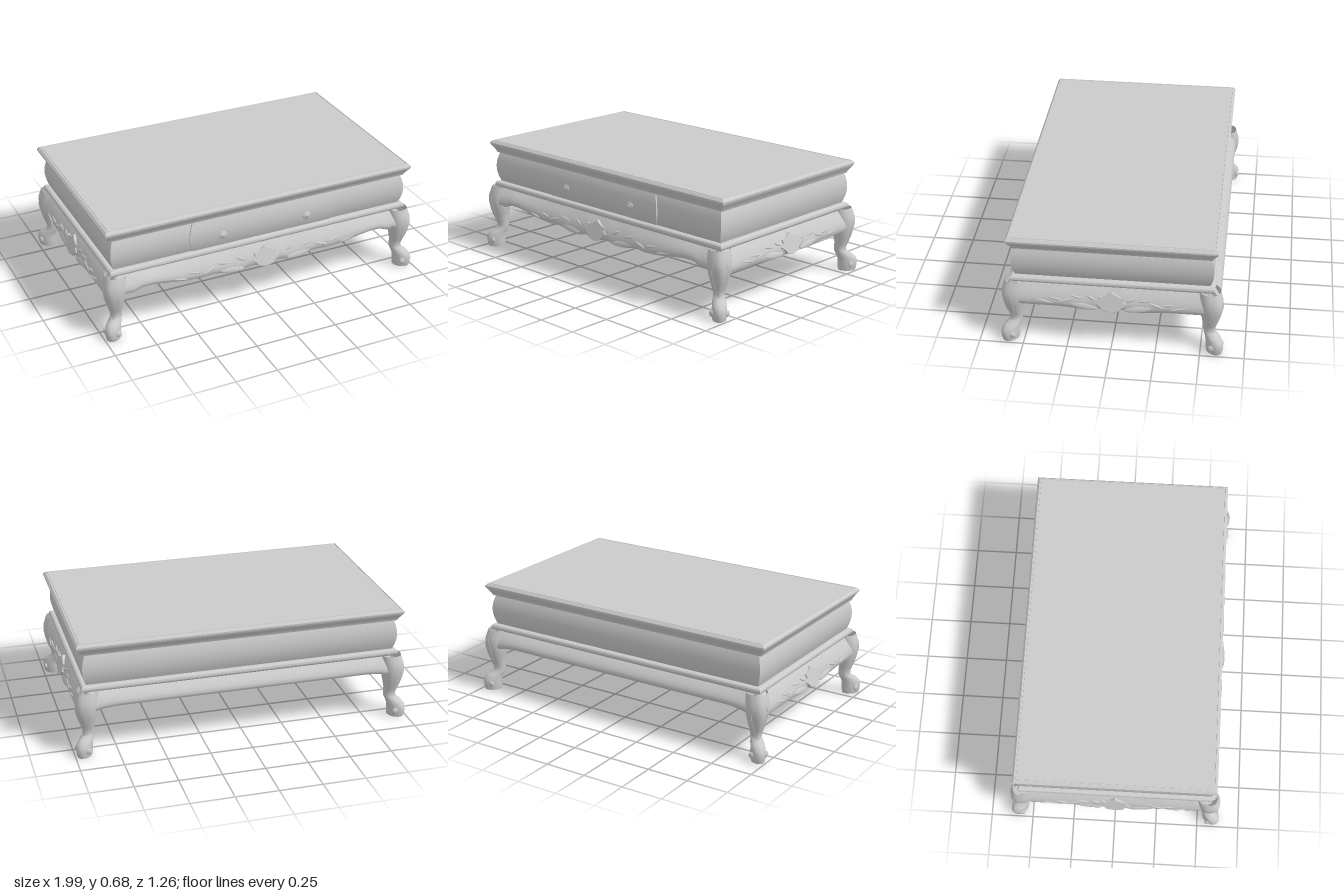
import * as THREE from 'three';
import { toCreasedNormals } from 'three/addons/utils/BufferGeometryUtils.js';

const paint = new THREE.MeshStandardMaterial({ color: 0xcbcbcb, side: THREE.DoubleSide });
paint.name = 'light grey paint';

function mesh(name, geometry, parent, x = 0, y = 0, z = 0) {
  const m = new THREE.Mesh(geometry, paint);
  m.name = name;
  m.position.set(x, y, z);
  parent.add(m);
  return m;
}

// Skin over closed rings of [x, y, z] points
function loft(rings, crease = 0.7) {
  const n = rings[0].length, index = [];
  for (let i = 0; i < rings.length - 1; i++)
    for (let j = 0; j < n; j++) {
      const a = i * n + j, d = i * n + (j + 1) % n;
      index.push(a, a + n, d + n, a, d + n, d);
    }
  const g = new THREE.BufferGeometry();
  g.setAttribute('position', new THREE.Float32BufferAttribute(rings.flat(2), 3));
  g.setIndex(index);
  return toCreasedNormals(g, crease);
}

// Mitred rectangular moulding; the profile [outward, y] runs upwards
function moulding(hx, hz, profile) {
  const corners = [[-1, 1], [1, 1], [1, -1], [-1, -1]], pos = [];
  for (let s = 0; s < 4; s++)
    for (let i = 0; i < profile.length - 1; i++) {
      const at = (c, p) => [c[0] * (hx + p[0]), p[1], c[1] * (hz + p[0])];
      const l = corners[s], r = corners[(s + 1) % 4], p = profile[i], q = profile[i + 1];
      pos.push(at(l, p), at(r, p), at(r, q), at(l, p), at(r, q), at(l, q));
    }
  const g = new THREE.BufferGeometry();
  g.setAttribute('position', new THREE.Float32BufferAttribute(pos.flat(), 3));
  return toCreasedNormals(g, 0.5);
}

// Linear lookup in a list of [x, value]
function lookup(list, x) {
  for (let i = 1; i < list.length; i++)
    if (x <= list[i][0]) {
      const [a, b] = [list[i - 1], list[i]];
      return a[1] + (b[1] - a[1]) * (x - a[0]) / (b[0] - a[0]);
    }
  return list[list.length - 1][1];
}

const APRON_TOP = 0.388;
const apronCurve = [[0, -0.009], [0.1, -0.002], [0.22, 0], [0.4, -0.005], [0.6, -0.016], [0.8, -0.032], [1, -0.05]];

// Flared rail with a shaped lower edge, facing +z
function apron(name, half, face, edge) {
  const group = new THREE.Group(), rings = [];
  group.name = name;
  for (let i = 0; i <= 72; i++) {
    const x = -half + 2 * half * i / 72, low = lookup(edge, Math.abs(x));
    const ring = apronCurve.map(([t, d]) => [x, low + (APRON_TOP - low) * t, face + d]);
    ring.push([x, APRON_TOP, face - 0.07], [x, low, face - 0.045]);
    rings.push(ring);
  }
  mesh(name + 'Rail', loft(rings), group);
  return group;
}

// Shell crest and low-relief leaf sprays carved on a rail
function carve(group, face, reach, edge) {
  const shape = new THREE.Shape();
  const half = [[0.025, 0.345], [0.055, 0.332], [0.07, 0.336], [0.065, 0.312], [0.088, 0.295], [0.06, 0.275], [0.045, 0.256]];
  shape.moveTo(0, 0.063);
  half.forEach(([x, y]) => shape.lineTo(x, y - 0.3));
  shape.lineTo(0, -0.054);
  half.slice().reverse().forEach(([x, y]) => shape.lineTo(-x, y - 0.3));
  const crest = mesh('shellCrest', new THREE.ExtrudeGeometry(shape, {
    depth: 0.01, bevelThickness: 0.006, bevelSize: 0.003, bevelSegments: 2 }), group, 0, 0.3, face - 0.013);
  crest.rotation.x = -0.28;
  // Leaves: [fraction along, height, half length, half width, tilt]
  const leaves = [[0.26, 0.322, 0.03, 0.008, 0.5], [0.45, 0.322, 0.04, 0.006, 0.2], [0.36, 0.272, 0.08, 0.018, 0.12],
    [0.6, 0.3, 0.045, 0.008, -0.3], [0.74, 0.308, 0.04, 0.006, 0.15], [0.9, 0.29, 0.05, 0.006, 0.2]];
  for (const s of [-1, 1])
    for (const [f, y, l, w, tilt] of leaves) {
      const x = f * reach, low = lookup(edge, x);
      const z = face + lookup(apronCurve, (y - low) / (APRON_TOP - low));
      const leaf = mesh('carvedLeaf', new THREE.SphereGeometry(1, 14, 8), group, s * x, y, z);
      leaf.scale.set(l, w, 0.006);
      leaf.rotation.set(-0.25, 0, s * tilt);
    }
}

// Cabriole leg, its outer corner towards +x +z
function leg() {
  const group = new THREE.Group();
  // [height, diagonal shift, radius, width across the diagonal]
  const path = [[0, 0.027, 0.001, 0.8], [0, 0.027, 0.047, 0.8], [0.02, 0.028, 0.051, 0.8], [0.05, 0.029, 0.053, 0.8],
    [0.075, 0.026, 0.051, 0.8], [0.1, 0.014, 0.046, 0.82], [0.118, -0.002, 0.036, 0.9], [0.14, -0.005, 0.034, 0.95],
    [0.17, -0.001, 0.039, 1], [0.21, 0.002, 0.05, 1], [0.25, 0.003, 0.06, 1], [0.29, 0.004, 0.066, 1],
    [0.33, 0.002, 0.067, 1], [0.36, -0.003, 0.064, 1], [0.39, -0.008, 0.06, 1]];
  mesh('cabrioleLeg', loft(path.map(([y, d, r, w]) => {
    const ring = [];
    for (let j = 0; j < 32; j++) {
      const a = j / 32 * Math.PI * 2;
      const ridge = y > 0.12 ? 0.1 * Math.max(0, Math.cos(a)) ** 10 : 0;
      const along = r * (2 - w) ** 0.5 * (1 + ridge) * Math.cos(a), across = r * w * Math.sin(a);
      ring.push([d + (along - across) * Math.SQRT1_2, y, d + (along + across) * Math.SQRT1_2]);
    }
    return ring;
  }), 0.9), group);
  // Scroll eyes on the foot and leaf edges on the knee
  for (const side of [0, 1]) {
    const eye = mesh('footScroll', new THREE.SphereGeometry(0.019, 16, 10), group,
      side ? 0.012 : 0.07, 0.042, side ? 0.07 : 0.012);
    eye.scale.set(side ? 1 : 0.5, 1, side ? 0.5 : 1);
    const pts = path.slice(7, 14).map(([y, d, r], i) => {
      const a = Math.PI / 4 + (side ? 1 : -1) * (0.3 + 0.5 * Math.sin(i / 6 * Math.PI));
      return new THREE.Vector3(d + r * Math.cos(a), y, d + r * Math.sin(a));
    });
    mesh('kneeLeafEdge', new THREE.TubeGeometry(new THREE.CatmullRomCurve3(pts), 24, 0.002, 6), group);
  }
  return group;
}

export function createModel() {
  const model = new THREE.Group();
  model.name = 'coffeeTable';

  // Table top with bevel, lip and cove beneath
  mesh('tableTop', moulding(0.967, 0.584, [[-0.06, 0.604], [-0.032, 0.604], [-0.029, 0.613], [-0.023, 0.624],
    [-0.014, 0.638], [-0.005, 0.651], [-0.004, 0.656], [0, 0.658], [0, 0.667], [-0.012, 0.68], [-0.017, 0.68],
    [-0.018, 0.677], [-0.023, 0.677], [-0.024, 0.68], [-0.584, 0.68]]), model);

  // Bombe body
  const bulge = y => -0.02 * ((y - 0.515) / 0.093) ** 2;
  const bodyProfile = [];
  for (let i = 0; i <= 14; i++) {
    const y = 0.418 + 0.19 * i / 14;
    bodyProfile.push([bulge(y), y]);
  }
  mesh('body', moulding(0.935, 0.563, bodyProfile), model);

  // Half-round base moulding
  const base = [[-0.06, 0.382], [-0.018, 0.382]];
  for (let i = 0; i <= 8; i++) {
    const a = -Math.PI / 2 + Math.PI * i / 8;
    base.push([-0.018 + 0.018 * Math.cos(a), 0.402 + 0.019 * Math.sin(a)]);
  }
  base.push([-0.06, 0.421]);
  mesh('baseMoulding', moulding(0.945, 0.572, base), model);

  // Board closing the underside between the aprons
  mesh('undersideBoard', new THREE.BoxGeometry(1.87, 0.008, 1.14), model, 0, 0.302, 0);

  // Drawer front with bowed ends
  const rows = [];
  for (let i = 0; i <= 16; i++) {
    const y = 0.423 + 0.178 * i / 16, s = (y - 0.512) / 0.089;
    const w = 0.44 + 0.023 * (1 - s * s), z = 0.563 + bulge(y);
    rows.push([[w, y, z + 0.009], [-w, y, z + 0.009], [-w, y, z - 0.01], [w, y, z - 0.01]]);
  }
  mesh('drawerFront', loft(rows), model);

  // Drawer knobs
  const knob = [[0.016, 0], [0.014, 0.004], [0.007, 0.007], [0.007, 0.012], [0.024, 0.015], [0.025, 0.018],
    [0.018, 0.021], [0.01, 0.022], [0.009, 0.026], [0, 0.028]].map(([r, y]) => new THREE.Vector2(r, y));
  for (const s of [-1, 1])
    mesh('drawerKnob', new THREE.LatheGeometry(knob, 24), model, s * 0.267, 0.505, 0.57).rotation.x = Math.PI / 2;

  // Aprons: [distance from centre, lower edge height]
  const frontEdge = [[0, 0.245], [0.05, 0.256], [0.09, 0.262], [0.16, 0.245], [0.24, 0.253], [0.32, 0.268], [0.4, 0.262],
    [0.5, 0.268], [0.6, 0.284], [0.7, 0.299], [0.77, 0.298], [0.82, 0.275], [0.84, 0.285], [0.9, 0.27]];
  const sideEdge = [[0, 0.243], [0.05, 0.254], [0.09, 0.256], [0.15, 0.243], [0.22, 0.25], [0.3, 0.256], [0.53, 0.256]];
  const backEdge = [[0, 0.296], [0.75, 0.296], [0.83, 0.288], [0.9, 0.27]];
  const front = apron('frontApron', 0.9, 0.604, frontEdge);
  carve(front, 0.604, 0.6, frontEdge);
  model.add(front);
  const back = apron('backApron', 0.9, 0.604, backEdge);
  back.rotation.y = Math.PI;
  model.add(back);
  for (const s of [-1, 1]) {
    const side = apron(s > 0 ? 'leftApron' : 'rightApron', 0.53, 0.974, sideEdge);
    carve(side, 0.974, 0.42, sideEdge);
    side.rotation.y = s * Math.PI / 2;
    model.add(side);
  }

  // Four legs, turned to point out at the corners
  [[1, 1, 'frontLeftLeg'], [1, -1, 'backLeftLeg'], [-1, -1, 'backRightLeg'], [-1, 1, 'frontRightLeg']].forEach(([x, z, name], k) => {
    const l = leg();
    l.name = name;
    l.position.set(x * 0.916, 0, z * 0.55);
    l.rotation.y = k * Math.PI / 2;
    model.add(l);
  });
  return model;
}
